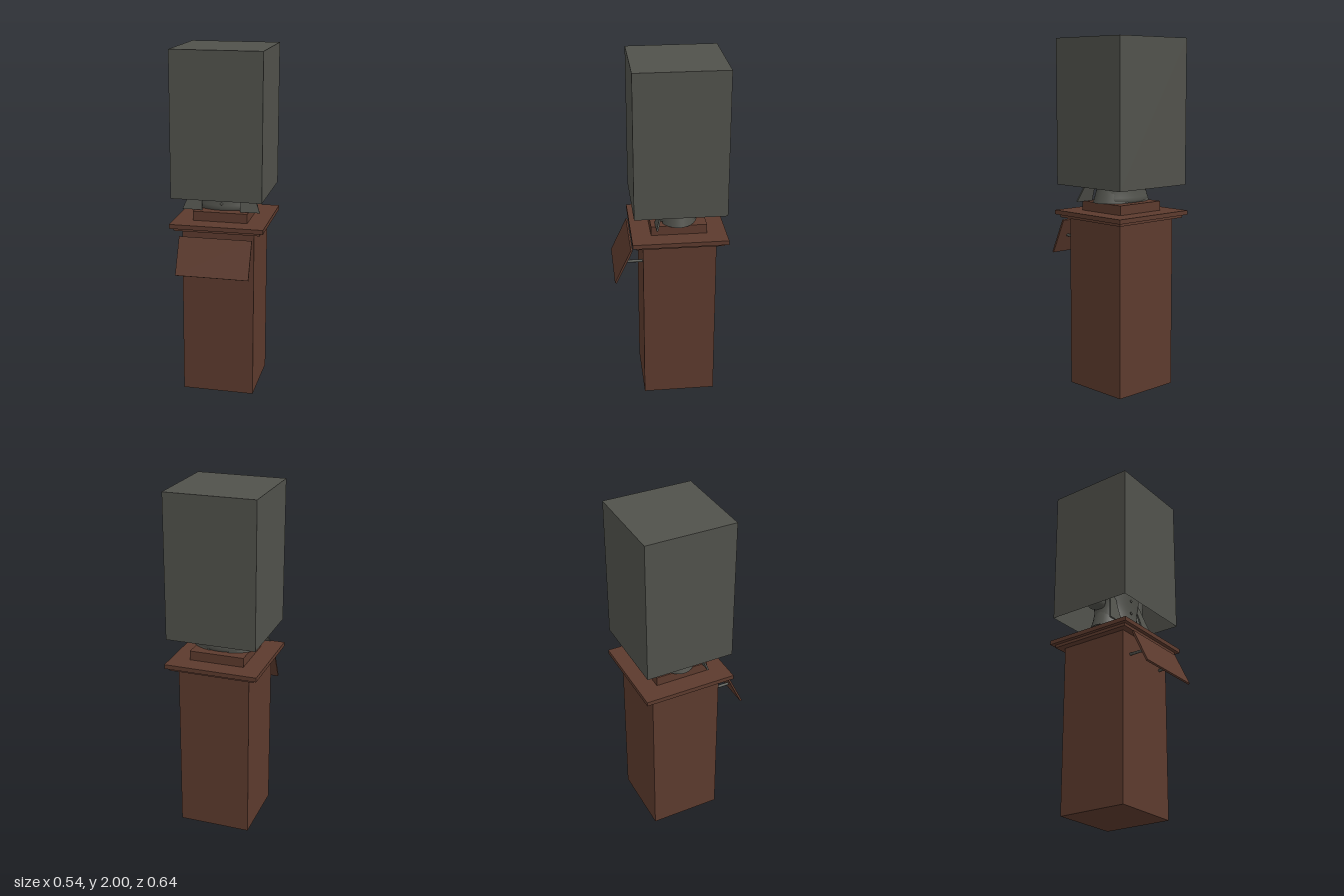
import * as THREE from 'three';

const wood = new THREE.MeshStandardMaterial({ color: 0x5c3a2d });
wood.name = 'brown wood';
const grey = new THREE.MeshStandardMaterial({ color: 0x50514b, side: THREE.DoubleSide });
grey.name = 'dark grey';

const CENTRE_Z = -0.05; // pedestal, case and bust share this axis

function add(parent, name, geometry, material, x = 0, y = 0, z = 0) {
  const mesh = new THREE.Mesh(geometry, material);
  mesh.name = name;
  mesh.position.set(x, y, z);
  parent.add(mesh);
  return mesh;
}

// box given by half width, half depth and its bottom and top heights
function slab(parent, name, half, halfZ, y0, y1) {
  return add(parent, name, new THREE.BoxGeometry(half * 2, y1 - y0, halfZ * 2), wood, 0, (y0 + y1) / 2, CENTRE_Z);
}

// smooth turned form, flattened front to back
function turned(parent, name, points, depth, x = 0, z = CENTRE_Z) {
  const curve = new THREE.SplineCurve(points.map(([r, y]) => new THREE.Vector2(r, y)));
  const profile = curve.getPoints(30).map((p) => new THREE.Vector2(Math.max(p.x, 0), p.y));
  const geometry = new THREE.LatheGeometry(profile, 32);
  geometry.scale(1, 1, depth);
  return add(parent, name, geometry, grey, x, 0, z);
}

function createBust() {
  const bust = new THREE.Group();
  bust.name = 'bust';
  turned(bust, 'torso', [[0, 1.081], [0.165, 1.081], [0.165, 1.14], [0.155, 1.22], [0.175, 1.35],
    [0.185, 1.44], [0.14, 1.52], [0.065, 1.56], [0.055, 1.62]], 0.68);
  turned(bust, 'head', [[0, 1.58], [0.06, 1.61], [0.09, 1.68], [0.095, 1.75], [0.07, 1.82], [0, 1.85]], 1.1);
  const nose = add(bust, 'nose', new THREE.ConeGeometry(0.018, 0.06, 12), grey, 0, 1.71, CENTRE_Z + 0.105);
  nose.rotation.x = -0.25;

  for (const side of [-1, 1]) {
    turned(bust, 'arm', [[0, 1.2], [0.045, 1.21], [0.05, 1.32], [0.055, 1.42], [0.04, 1.49], [0, 1.5]], 1.1, side * 0.185);

    // open coat front hanging off the chest
    const panel = new THREE.Shape();
    panel.moveTo(side * 0.11, 0);
    panel.lineTo(side * 0.225, 0);
    panel.lineTo(side * 0.175, 0.13);
    panel.lineTo(side * 0.13, 0.32);
    panel.lineTo(side * 0.08, 0.32);
    panel.quadraticCurveTo(side * 0.12, 0.12, side * 0.11, 0);
    const coat = add(bust, 'coatFront',
      new THREE.ExtrudeGeometry(panel, { depth: 0.009, bevelEnabled: false, curveSegments: 10 }),
      grey, 0, 1.082, 0.075);
    coat.rotation.x = -0.3;

    // coat side wrapping round behind the panel
    const flare = add(bust, 'coatSide', new THREE.CylinderGeometry(0.15, 0.19, 0.12, 16, 1, true,
      side > 0 ? 0.7 : Math.PI + 0.3, Math.PI - 1), grey, 0, 1.142, CENTRE_Z);
    flare.scale.z = 0.62;
  }

  // shirt creases and buttons along the front
  for (const y of [1.12, 1.2, 1.28, 1.36]) {
    const button = add(bust, 'button', new THREE.SphereGeometry(0.009, 10, 8), grey, 0, y, CENTRE_Z + 0.114);
    button.scale.z = 0.6;
  }
  return bust;
}

export function createModel() {
  const model = new THREE.Group();
  model.name = 'displayPedestal';

  // wooden pedestal with stepped top
  slab(model, 'column', 0.2075, 0.2075, 0, 0.985);
  slab(model, 'lowerMoulding', 0.247, 0.247, 0.985, 1.002);
  slab(model, 'topSlab', 0.269, 0.269, 1.002, 1.027);
  slab(model, 'bustPlinth', 0.158, 0.158, 1.027, 1.081);

  // sloping plaque on its brackets
  const plaque = add(model, 'plaque', new THREE.BoxGeometry(0.416, 0.222, 0.011), wood, 0, 0.861, 0.268);
  plaque.rotation.x = -0.436;
  for (const side of [-1, 1]) {
    const rod = add(model, 'plaqueBracket', new THREE.CylinderGeometry(0.008, 0.008, 0.11, 12), grey, side * 0.14, 0.861, 0.212);
    rod.rotation.x = Math.PI / 2;
  }

  model.add(createBust());

  // case: four walls and a lid, open underneath
  const cover = new THREE.Group();
  cover.name = 'displayCase';
  const w = 0.518, h = 0.825;
  for (let i = 0; i < 4; i++) {
    const a = i * Math.PI / 2;
    const wall = add(cover, 'caseWall', new THREE.PlaneGeometry(w, h), grey, Math.sin(a) * w / 2, 0, Math.cos(a) * w / 2);
    wall.rotation.y = a;
  }
  const lid = add(cover, 'caseLid', new THREE.PlaneGeometry(w, w), grey, 0, h / 2, 0);
  lid.rotation.x = -Math.PI / 2;
  cover.position.set(0, 2 - h / 2, CENTRE_Z);
  model.add(cover);

  return model;
}
